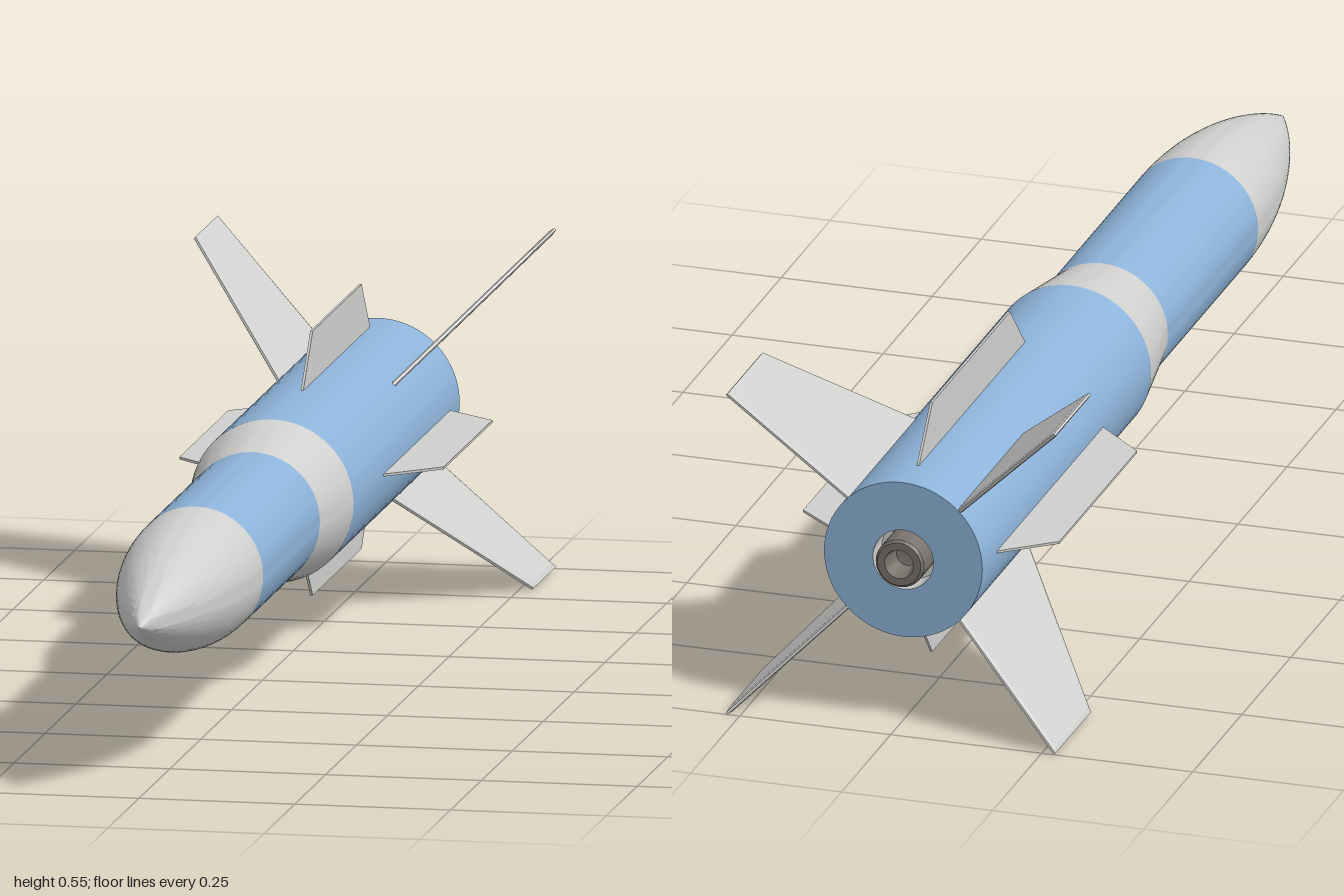
import * as THREE from 'three';
import { toCreasedNormals } from 'three/addons/utils/BufferGeometryUtils.js';

const AXIS_Y = 0.274; // height of the body's centre line

const material = (name, color) => {
  const m = new THREE.MeshStandardMaterial({ color });
  m.name = name;
  return m;
};

export function createModel() {
  const blue = material('blue', 0x8db3d9);
  const grey = material('light grey', 0xcfcfcd);
  const metal = material('nozzle grey', 0x78736c);

  const model = new THREE.Group();
  model.name = 'missile';
  const body = new THREE.Group();
  body.name = 'body';
  body.position.y = AXIS_Y;
  model.add(body);

  const add = (name, geometry, mat) => {
    const mesh = new THREE.Mesh(geometry, mat);
    mesh.name = name;
    body.add(mesh);
    return mesh;
  };

  // Turned part along z; profile points are [radius, z] from back to front
  const turn = (name, profile, mat, segments = 72) => {
    const points = profile.map(([r, z]) => new THREE.Vector2(r, z));
    const geometry = new THREE.LatheGeometry(points, segments).rotateX(Math.PI / 2);
    return add(name, toCreasedNormals(geometry, 0.5), mat);
  };

  // Ogive nose
  const R = 0.108, L = 0.46, rho = (R * R + L * L) / (2 * R);
  const nose = [];
  for (let i = 0; i <= 24; i++) {
    const d = L * Math.sin((i / 24) * Math.PI / 2);
    nose.push([Math.max(0, Math.sqrt(rho * rho - d * d) + R - rho), 0.54 + d]);
  }
  turn('nose', nose, grey);

  // Body tubes and the flare between them
  turn('frontTube', [[R, 0.08], [R, 0.54]], blue);
  turn('flare', [[0.131, -0.076], [R, 0.08]], grey);
  turn('rearTube', [[0.05, -0.936], [0.131, -0.936], [0.131, -0.076]], blue);

  // Recess in the base with the nozzle inside
  turn('baseRecess', [[0, -0.89], [0.05, -0.89], [0.05, -0.936]], grey, 48);
  turn('nozzle', [[0, -0.91], [0.018, -0.915], [0.024, -0.957], [0.036, -0.957],
    [0.04, -0.953], [0.04, -0.89]], metal, 40);

  // Thin plate outlined by [radius, z], lying in the plane through the axis
  const plate = (outline, thickness, bevel) => {
    const shape = new THREE.Shape(outline.map(([r, z]) => new THREE.Vector2(r, z)));
    const depth = thickness - 2 * bevel;
    return new THREE.ExtrudeGeometry(shape, {
      depth, bevelEnabled: bevel > 0, bevelThickness: bevel,
      bevelSize: 0.008, bevelOffset: -0.008, bevelSegments: 1,
    }).translate(0, 0, -depth / 2).rotateX(Math.PI / 2);
  };

  const fin = plate([[0.12, -0.582], [0.12, -0.932], [0.384, -1], [0.384, -0.82]], 0.008, 0.002);
  const strake = plate([[0.12, -0.31], [0.12, -0.87], [0.212, -0.793], [0.212, -0.397]], 0.004, 0);

  // Four strakes upright and level, four tail fins on the diagonals
  for (let i = 0; i < 4; i++) {
    add('strake' + (i + 1), strake, grey).rotation.z = i * Math.PI / 2;
    add('tailFin' + (i + 1), fin, grey).rotation.z = (i + 0.5) * Math.PI / 2;
  }
  return model;
}
